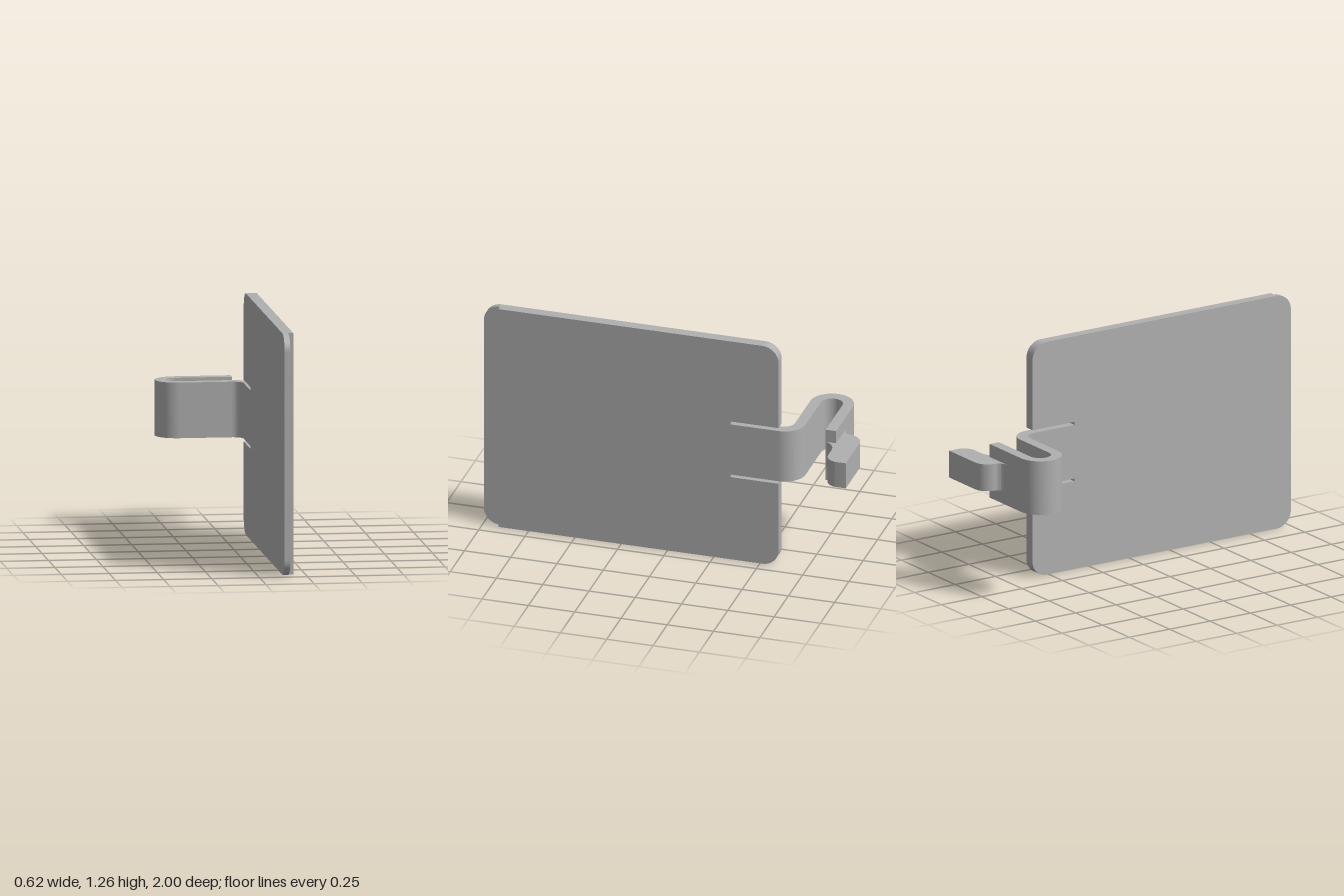
import * as THREE from 'three';
import { toCreasedNormals } from 'three/addons/utils/BufferGeometryUtils.js';

const grey = new THREE.MeshStandardMaterial({ color: 0xb0b0b0 });
grey.name = 'plain grey';

const R = 0.087; // panel corner radius
const H = 1.26;  // panel height
const PI = Math.PI;

function extrude(name, shape, depth) {
  const solid = new THREE.ExtrudeGeometry(shape, { depth, bevelEnabled: false, curveSegments: 16 });
  const mesh = new THREE.Mesh(toCreasedNormals(solid, 0.6), grey);
  mesh.name = name;
  return mesh;
}

// Side outline drawn in (-z, y), given thickness along x
function sidePlate(name, shape, x0, x1) {
  const mesh = extrude(name, shape, x1 - x0);
  mesh.geometry.rotateY(PI / 2).translate(x0, 0, 0);
  return mesh;
}

// Plan outline drawn in (x, -z), given height along y
function planSolid(name, shape, y0, y1) {
  const mesh = extrude(name, shape, y1 - y0);
  mesh.geometry.rotateX(-PI / 2).translate(0, y0, 0);
  return mesh;
}

export function createModel() {
  const model = new THREE.Group();
  model.name = 'clipPanel';

  // Main panel: rounded rear corners, two slots freeing a tongue
  const front = -0.913, rear = 0.6, slotEnd = 0.34;
  const panel = new THREE.Shape();
  panel.moveTo(front, 0);
  panel.lineTo(rear - R, 0);
  panel.absarc(rear - R, R, R, -PI / 2, 0, false);
  for (const [a, b] of [[0.475, 0.49], [0.78, 0.797]]) {
    panel.lineTo(rear, a);
    panel.lineTo(slotEnd, a);
    panel.lineTo(slotEnd, b);
    panel.lineTo(rear, b);
  }
  panel.lineTo(rear, H - R);
  panel.absarc(rear - R, H - R, R, 0, PI / 2, false);
  panel.lineTo(front, H);
  model.add(sidePlate('panel', panel, 0.13, 0.187));

  // Thinner lip along the front edge
  const lip = new THREE.Shape();
  lip.moveTo(front, 0);
  lip.lineTo(front, H);
  lip.absarc(front, H - R, R, PI / 2, PI, false);
  lip.absarc(front, R, R, PI, PI * 1.5, false);
  model.add(sidePlate('frontLip', lip, 0.13, 0.16));

  // Spring clip: bend from the tongue, straight arm, U turn, return arm
  const clip = new THREE.Shape();
  clip.moveTo(0.187, 0.6);
  clip.absarc(0.075, 0.6, 0.112, 0, PI / 2, false);
  clip.lineTo(-0.195, 0.712);
  clip.absarc(-0.195, 0.77, 0.058, PI * 1.5, PI / 2, true);
  clip.lineTo(0.1, 0.828);
  clip.lineTo(0.1, 0.885);
  clip.lineTo(-0.195, 0.885);
  clip.absarc(-0.195, 0.77, 0.115, PI / 2, PI * 1.5, false);
  clip.lineTo(0.075, 0.655);
  clip.absarc(0.075, 0.6, 0.055, PI / 2, 0, true);
  model.add(planSolid('springClip', clip, 0.49, 0.78));

  // Finger tab curving away from the return arm
  const tab = new THREE.Shape();
  tab.moveTo(-0.075, 0.87);
  tab.lineTo(0.099, 0.83);
  tab.quadraticCurveTo(0.125, 0.885, 0.185, 0.885);
  tab.lineTo(0.24, 0.885);
  tab.absarc(0.24, 0.95, 0.065, -PI / 2, 0, false);
  tab.lineTo(0.305, 1);
  tab.lineTo(0.065, 1);
  tab.absarc(0.065, 0.92, 0.08, PI / 2, PI, false);
  tab.quadraticCurveTo(-0.025, 0.885, -0.075, 0.885);
  model.add(planSolid('fingerTab', tab, 0.565, 0.71));

  return model;
}
